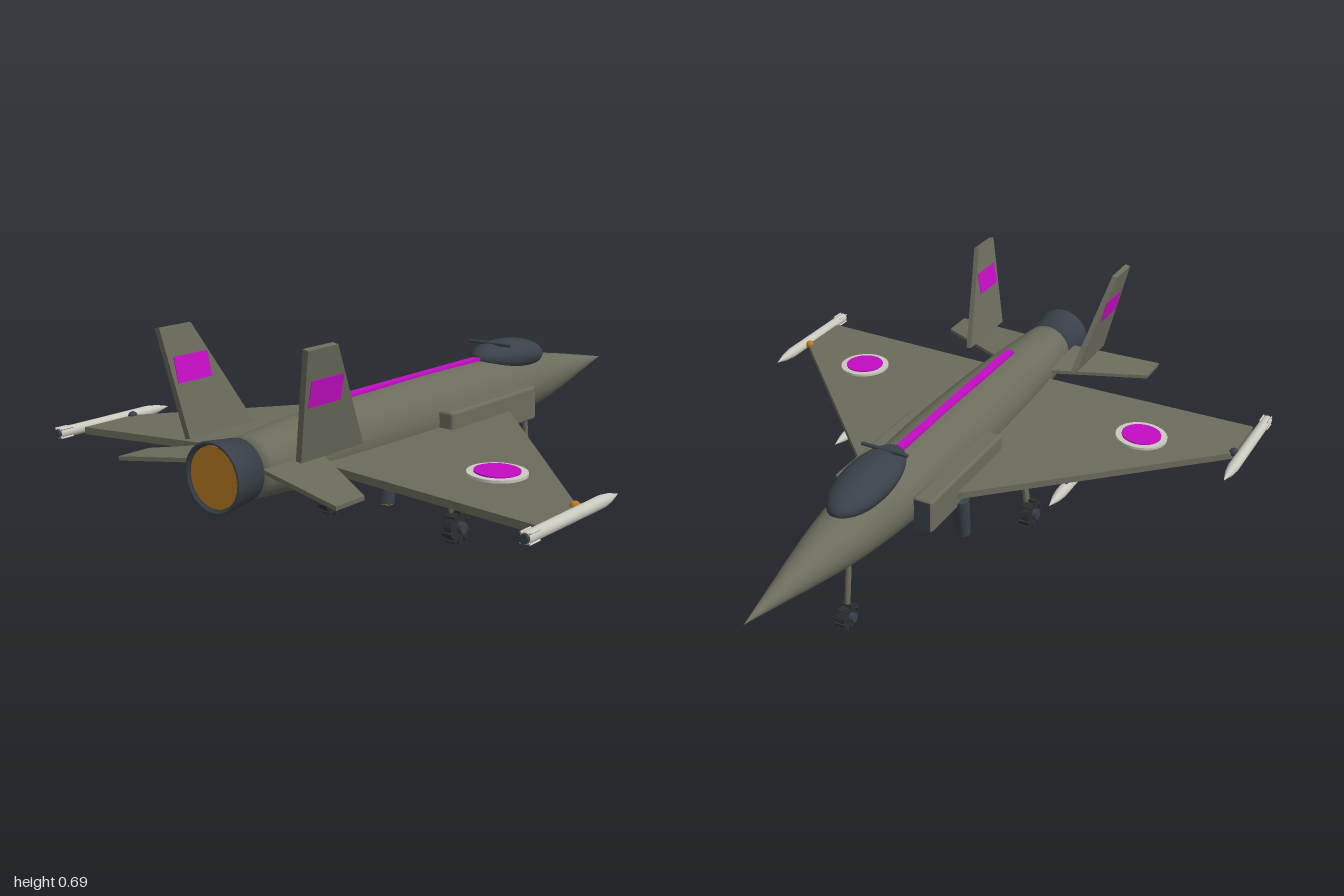
import * as THREE from 'three';
import { RoundedBoxGeometry } from 'three/addons/geometries/RoundedBoxGeometry.js';

const paint = (name, color, side = THREE.FrontSide) => {
  const m = new THREE.MeshStandardMaterial({ color, side });
  m.name = name;
  return m;
};

export function createModel() {
  const model = new THREE.Group();
  model.name = 'jetAircraft';
  const olive = paint('olive', 0x6b6c5c);
  const slate = paint('slate', 0x3a4149);
  const rubber = paint('rubber', 0x2b2f31);
  const pale = paint('paleGrey', 0xc8c8be);
  const magenta = paint('magenta', 0xc40cc4);
  const orange = paint('orange', 0xb87a22);
  const AXIS = 0.335;

  const add = (name, geo, mat, x = 0, y = 0, z = 0, parent = model) => {
    const mesh = new THREE.Mesh(geo, mat);
    mesh.name = name;
    mesh.position.set(x, y, z);
    parent.add(mesh);
    return mesh;
  };
  // Body of revolution along x from [x, radius] pairs
  const turned = (pts, n) =>
    new THREE.LatheGeometry(pts.map(([x, r]) => new THREE.Vector2(r, x)), n).rotateZ(-Math.PI / 2);
  // Flat panel from [x, span] corners, hinged about x by an angle measured from vertical
  const panel = (name, pts, t, angle, mat, y, z) => {
    const shape = new THREE.Shape(pts.map(([x, v]) => new THREE.Vector2(x, v)));
    const geo = new THREE.ExtrudeGeometry(shape, { depth: t, bevelEnabled: false });
    return add(name, geo.translate(0, 0, -t / 2).rotateX(angle), mat, 0, y, z);
  };
  // Cylinder between two points
  const rod = (name, a, b, r, mat) => {
    const p = new THREE.Vector3(...a), q = new THREE.Vector3(...b);
    const mesh = add(name, new THREE.CylinderGeometry(r, r, p.distanceTo(q), 10), mat);
    mesh.position.copy(p).add(q).multiplyScalar(0.5);
    mesh.quaternion.setFromUnitVectors(new THREE.Vector3(0, 1, 0), q.sub(p).normalize());
  };

  // Fuselage and nose
  const hull = new THREE.SplineCurve([
    [-0.865, 0.087], [-0.55, 0.109], [-0.2, 0.12], [0.1, 0.118], [0.35, 0.105],
    [0.55, 0.084], [0.72, 0.055], [0.84, 0.031],
  ].map((p) => new THREE.Vector2(...p))).getPoints(24).map((p) => [p.x, p.y]);
  add('fuselage', turned([[-0.89, 0], [-0.89, 0.066], ...hull], 32), olive, 0, AXIS);
  add('noseCone', turned([[0.838, 0], [0.838, 0.032], [1, 0]], 24), olive, 0, AXIS);

  // Engine nozzle with glowing core
  add('engineNozzle', turned([[-0.985, 0], [-0.985, 0.084], [-1, 0.09], [-1, 0.099],
    [-0.895, 0.086], [-0.88, 0]], 24), slate, 0, AXIS);
  add('engineGlow', new THREE.CylinderGeometry(0.085, 0.085, 0.006, 24).rotateZ(Math.PI / 2),
    orange, -0.99, AXIS);

  // Canopy, crossbar and spine stripe
  const canopy = add('canopy', new THREE.SphereGeometry(1, 32, 20), slate, 0.378, 0.44);
  canopy.scale.set(0.184, 0.056, 0.08);
  canopy.rotation.z = -0.09;
  add('canopyBar', new THREE.CylinderGeometry(0.006, 0.006, 0.155, 8).rotateX(Math.PI / 2),
    slate, 0.277, 0.494);
  add('spineStripe', new THREE.BoxGeometry(0.78, 0.009, 0.03), magenta, -0.17, 0.455);

  // Missile: body with pointed nose, tail cap and four fins
  const missile = (name, length, x, y, z) => {
    const g = new THREE.Group();
    g.name = name;
    g.position.set(x, y, z);
    model.add(g);
    const h = length / 2;
    add('missileBody', turned([[-h + 0.01, 0], [-h + 0.01, 0.017], [h - 0.09, 0.018],
      [h - 0.05, 0.013], [h, 0]], 16), pale, 0, 0, 0, g);
    add('missileTail', new THREE.CylinderGeometry(0.013, 0.013, 0.012, 12).rotateZ(Math.PI / 2),
      slate, -h + 0.006, 0, 0, g);
    for (let i = 0; i < 2; i++) {
      const fin = add('missileFin', new THREE.BoxGeometry(0.045, 0.042, 0.004), pale, -h + 0.03, 0, 0, g);
      fin.rotation.x = Math.PI / 4 + i * Math.PI / 2;
    }
  };

  // Knobbly wheel turning about z, hub facing the given side
  const wheel = (name, x, y, z, r, side) => {
    const g = new THREE.Group();
    g.name = name;
    g.position.set(x, y, z);
    model.add(g);
    add('tyre', new THREE.CylinderGeometry(r * 0.88, r * 0.88, 0.026, 16).rotateX(Math.PI / 2),
      rubber, 0, 0, 0, g);
    for (let i = 0; i < 10; i++) {
      const a = i * Math.PI / 5;
      const block = add('treadBlock', new THREE.BoxGeometry(r * 0.25, r * 0.3, 0.034), rubber,
        Math.sin(a) * r * 0.85, Math.cos(a) * r * 0.85, 0, g);
      block.rotation.z = -a;
    }
    add('hub', new THREE.CylinderGeometry(r * 0.35, r * 0.35, 0.03, 12).rotateX(Math.PI / 2),
      slate, 0, 0, side * 0.014, g);
  };

  rod('noseLeg', [0.485, 0.27, 0], [0.51, 0.045, 0], 0.009, olive);
  wheel('noseWheel', 0.51, 0.043, 0, 0.042, -1);

  for (const s of [1, -1]) {
    // Wing, tailplane and canted fin
    panel('wing', [[0.2, -0.04], [0.125, 0.07], [-0.54, 0.705], [-0.735, 0.705], [-0.68, -0.04]],
      0.022, s * (Math.PI / 2 + 0.032), olive, 0.308, s * 0.11);
    panel('tailplane', [[-0.68, -0.03], [-0.86, 0.272], [-0.97, 0.272], [-0.905, -0.03]],
      0.012, s * (Math.PI / 2 + 0.09), olive, 0.343, s * 0.12);
    panel('tailFin', [[-0.89, 0], [-0.64, 0], [-0.81, 0.31], [-0.925, 0.31]],
      0.018, s * 0.205, olive, 0.386, s * 0.2);
    panel('finMark', [[-0.895, 0.153], [-0.77, 0.153], [-0.77, 0.226], [-0.895, 0.226]],
      0.022, s * 0.205, magenta, 0.386, s * 0.2);

    // Wing roundel: pale disc with a magenta centre
    const tilt = s * 0.032;
    add('roundelRim', new THREE.CylinderGeometry(0.084, 0.084, 0.008, 32), pale,
      -0.465, 0.315, s * 0.525).rotation.x = tilt;
    add('roundelCentre', new THREE.CylinderGeometry(0.064, 0.064, 0.008, 32), magenta,
      -0.465, 0.319, s * 0.525).rotation.x = tilt;

    // Side intake with dark mouth
    add('intake', new RoundedBoxGeometry(0.465, 0.11, 0.065, 3, 0.01), olive, 0.063, 0.315, s * 0.136);
    add('intakeMouth', new THREE.BoxGeometry(0.006, 0.098, 0.054), slate, 0.294, 0.315, s * 0.136);

    // Lift nozzles with glowing ends
    for (const [x, z] of [[0.098, 0.167], [-0.418, 0.118]]) {
      const nozzle = new THREE.Group();
      nozzle.name = 'liftNozzle';
      nozzle.position.set(x, 0.213, s * z);
      nozzle.rotation.z = -0.14;
      model.add(nozzle);
      add('nozzleBody', new THREE.CylinderGeometry(0.026, 0.023, 0.135, 12), slate, 0, 0, 0, nozzle);
      add('nozzleGlow', new THREE.CylinderGeometry(0.019, 0.019, 0.006, 12), orange, 0, -0.067, 0, nozzle);
    }

    // Stores, pylon and tip light
    missile('tipMissile', 0.455, -0.597, 0.29, s * 0.838);
    missile('wingMissile', 0.39, -0.245, 0.235, s * 0.391);
    add('pylon', new THREE.BoxGeometry(0.13, 0.055, 0.012), slate, -0.235, 0.269, s * 0.391);
    add('tipLight', new THREE.SphereGeometry(0.015, 12, 8), s > 0 ? orange : slate, -0.545, 0.295, s * 0.812);

    // Main landing gear
    rod('mainLeg', [-0.25, 0.3, s * 0.19], [-0.25, 0.053, s * 0.232], 0.011, olive);
    wheel('mainWheel', -0.25, 0.052, s * 0.239, 0.051, s);
  }
  return model;
}
